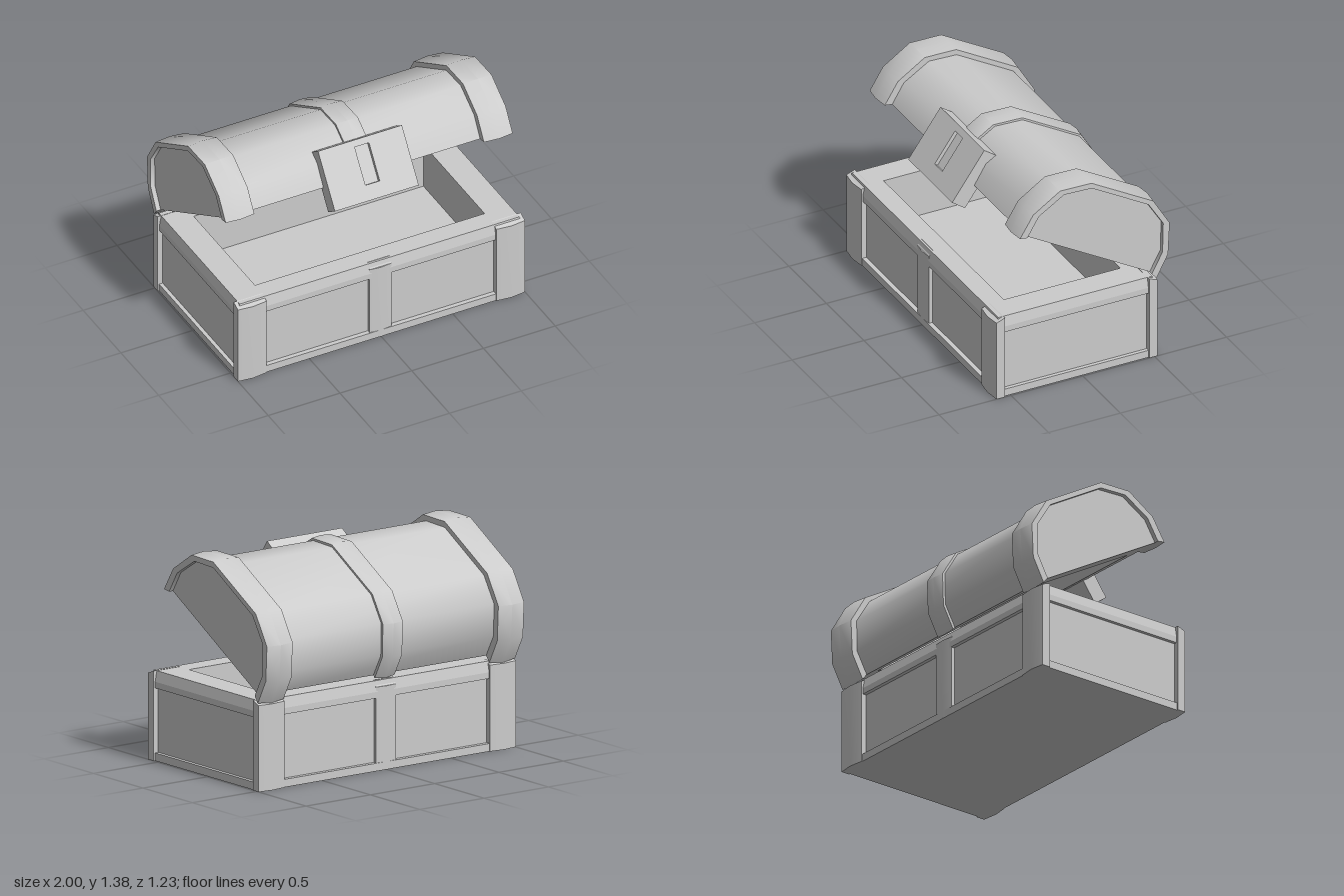
import * as THREE from 'three';
import { toCreasedNormals } from 'three/addons/utils/BufferGeometryUtils.js';

const material = new THREE.MeshStandardMaterial({ color: 0xcccccc });
const LID_MID = 0.56; // lid half depth, measured from the hinge

// Lid arch as [half depth, height]: inner barrel and outer band lines
const INNER = [[0.5, 0.024], [0.496, 0.18], [0.398, 0.36], [0.228, 0.45]];
const OUTER = [[0.56, 0], [0.553, 0.177], [0.451, 0.379], [0.254, 0.489]];

// Full arch from front to back; k blends from inner (0) to outer (1)
function arch(k) {
  const front = INNER.map(([z, y], i) => [
    z + k * (OUTER[i][0] - z),
    y + k * (OUTER[i][1] - y),
  ]);
  const back = front.map(([z, y]) => [-z, y]).reverse();
  return [...front, ...back].map(([z, y]) => [LID_MID + z, y]);
}

function addMesh(parent, name, geometry) {
  const mesh = new THREE.Mesh(geometry, material);
  mesh.name = name;
  parent.add(mesh);
  return mesh;
}

// Skin a list of closed rings of [x, y, z] points
function skin(rings, crease) {
  const n = rings[0].length;
  const index = [];
  for (let i = 0; i < rings.length - 1; i++) {
    for (let j = 0; j < n; j++) {
      const a = i * n + j, b = i * n + (j + 1) % n;
      index.push(a, b, a + n, b, b + n, a + n);
    }
  }
  const g = new THREE.BufferGeometry();
  g.setAttribute('position', new THREE.Float32BufferAttribute(rings.flat(2), 3));
  g.setIndex(index);
  return toCreasedNormals(g.toNonIndexed(), crease);
}

// Band over the lid from a closed section of [x, k] points
function bandGeometry(section) {
  const lines = section.map(([, k]) => arch(k));
  const rings = lines[0].map((_, i) =>
    section.map(([x], j) => [x, lines[j][i][1], lines[j][i][0]]));
  const closed = (ring) => {
    const c = [0, 1, 2].map((a) => ring.reduce((s, p) => s + p[a], 0) / ring.length);
    return ring.map(() => c);
  };
  return skin([closed(rings[0]), ...rings, closed(rings.at(-1))], 0.6);
}

// Extrude a [z, y] outline along x
function extrudeX(points, x0, x1) {
  const shape = new THREE.Shape(points.map(([z, y]) => new THREE.Vector2(z, y)));
  const g = new THREE.ExtrudeGeometry(shape, { depth: x1 - x0, bevelEnabled: false });
  g.rotateY(-Math.PI / 2);
  g.translate(x1, 0, 0);
  return toCreasedNormals(g, 0.6);
}

// Upright post with a slightly peaked face and a top sloping outward
function postGeometry(w, zIn, zEdge, zPeak, yOut, yIn) {
  const pts = [[-w, zIn], [w, zIn], [w, zEdge], [0, zPeak], [-w, zEdge]];
  const shape = new THREE.Shape(pts.map(([x, z]) => new THREE.Vector2(x, -z)));
  const g = new THREE.ExtrudeGeometry(shape, { depth: yIn, bevelEnabled: false });
  g.rotateX(-Math.PI / 2);
  const p = g.attributes.position;
  for (let i = 0; i < p.count; i++) {
    if (p.getY(i) > 0.1 && p.getZ(i) > zIn + 0.01) p.setY(i, yOut);
  }
  return toCreasedNormals(g, 0.3);
}

function buildBase() {
  const base = new THREE.Group();
  base.name = 'base';
  base.position.z = 0.04;

  // Skirt, recessed panels, rim and open hollow as [half width, half depth, y]
  const levels = [
    [0, 0, 0], [0.99, 0.555, 0], [0.99, 0.555, 0.05], [0.965, 0.525, 0.05],
    [0.965, 0.525, 0.46], [0.988, 0.55, 0.46], [0.988, 0.55, 0.5],
    [0.975, 0.535, 0.568], [0.8, 0.405, 0.568], [0.8, 0.405, 0.25], [0, 0, 0.25],
  ];
  const corners = [[-1, 1], [1, 1], [1, -1], [-1, -1]];
  const rings = levels.map(([hx, hz, y]) => corners.map(([sx, sz]) => [sx * hx, y, sz * hz]));
  addMesh(base, 'baseBody', skin(rings, 0.1));

  // Corner and middle posts on the front and back
  for (const turn of [0, Math.PI]) {
    const side = new THREE.Group();
    side.name = turn ? 'backPosts' : 'frontPosts';
    side.rotation.y = turn;
    for (const x of [-0.9, 0.9]) {
      const post = postGeometry(0.1, 0.502, 0.56, 0.572, 0.547, 0.57);
      addMesh(side, 'cornerPost', post).position.x = x;
    }
    addMesh(side, 'middlePost', postGeometry(0.077, 0.52, 0.548, 0.557, 0.53, 0.57));
    base.add(side);
  }
  return base;
}

function buildLock() {
  const lock = new THREE.Group();
  lock.name = 'lock';
  const w = 0.292, h = 0.193, recess = 0.025, thick = 0.11;

  // Front plate with the keyhole slot
  const plate = new THREE.Shape([[-w, -h], [w, -h], [w, h], [-w, h]]
    .map(([x, y]) => new THREE.Vector2(x, y)));
  plate.holes.push(new THREE.Path([[-0.05, -0.095], [-0.05, 0.15], [0.05, 0.15], [0.05, -0.095]]
    .map(([x, y]) => new THREE.Vector2(x, y))));
  const front = new THREE.ExtrudeGeometry(plate, { depth: recess, bevelEnabled: false });
  addMesh(lock, 'lockPlate', front).position.z = thick / 2 - recess;
  const back = new THREE.BoxGeometry(2 * w, 2 * h, thick - recess);
  addMesh(lock, 'lockBacking', back).position.z = -recess / 2;

  lock.position.set(0, 0.064, 1.079);
  lock.rotation.x = THREE.MathUtils.degToRad(-5.5);
  return lock;
}

function buildLid() {
  const lid = new THREE.Group();
  lid.name = 'lid';
  lid.position.set(0, 0.55, -0.52);
  lid.rotation.x = -Math.PI / 6;

  // Barrel: hollow in the middle, solid towards both ends
  const outline = arch(0);
  const hollow = [[0.16, 0.024], [0.16, 0.22], [0.965, 0.22], [0.965, 0.024]];
  addMesh(lid, 'lidBarrel', extrudeX([...outline, ...hollow], -0.8, 0.8));
  addMesh(lid, 'lidEnd', extrudeX(outline, 0.8, 0.97));
  addMesh(lid, 'lidEnd', extrudeX(outline, -0.97, -0.8));

  // Bands over both ends and the middle
  const end = [[0.8, 0], [0.8, 0.8], [0.9, 1], [1, 0.8], [1, 0], [0.97, 0]];
  addMesh(lid, 'endBand', bandGeometry(end));
  addMesh(lid, 'endBand', bandGeometry(end.map(([x, k]) => [-x, k]).reverse()));
  const middle = [[-0.077, 0], [-0.077, 0.32], [0, 0.5], [0.077, 0.32], [0.077, 0]];
  addMesh(lid, 'middleBand', bandGeometry(middle));

  lid.add(buildLock());
  return lid;
}

export function createModel() {
  const chest = new THREE.Group();
  chest.name = 'chest';
  chest.add(buildBase(), buildLid());
  return chest;
}
